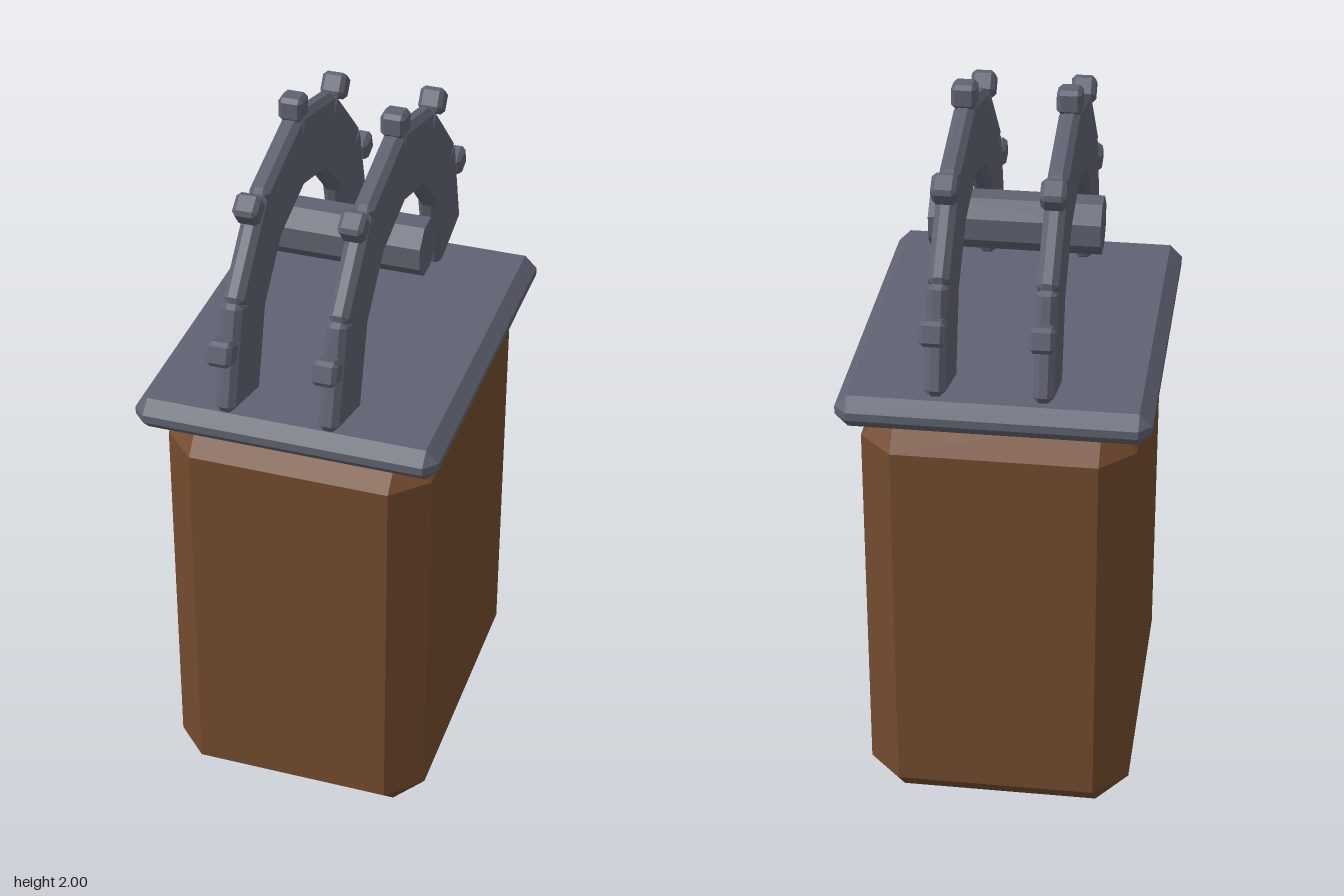
import * as THREE from 'three';
import { ConvexGeometry } from 'three/addons/geometries/ConvexGeometry.js';

// Box with every edge cut at 45 degrees and triangular corners
function chamferBox(w, h, d, c) {
  const half = [w / 2, h / 2, d / 2];
  const points = [];
  for (const sx of [-1, 1]) for (const sy of [-1, 1]) for (const sz of [-1, 1]) {
    for (let axis = 0; axis < 3; axis++) {
      const p = half.map((v, i) => (i === axis ? v : v - c));
      points.push(new THREE.Vector3(p[0] * sx, p[1] * sy, p[2] * sz));
    }
  }
  return new ConvexGeometry(points);
}

export function createModel() {
  const wood = new THREE.MeshStandardMaterial({ name: 'brown wood', color: 0x734a2e, flatShading: true });
  const metal = new THREE.MeshStandardMaterial({ name: 'grey metal', color: 0x5f6271, flatShading: true });

  const model = new THREE.Group();
  model.name = 'pedestalWithArches';

  function add(parent, name, geometry, material, x, y, z) {
    const mesh = new THREE.Mesh(geometry, material);
    mesh.name = name;
    mesh.position.set(x, y, z);
    parent.add(mesh);
    return mesh;
  }

  // Pedestal and its top plate
  add(model, 'pedestal', chamferBox(0.732, 1.24, 0.96, 0.092), wood, 0, 0.62, 0);
  add(model, 'topPlate', chamferBox(0.824, 0.09, 1.054, 0.034), metal, 0, 1.28, 0);

  // Octagonal axle along x, flat side up
  const axle = new THREE.CylinderGeometry(0.0785, 0.0785, 0.46, 8);
  axle.rotateY(Math.PI / 8);
  axle.rotateZ(Math.PI / 2);
  add(model, 'axle', axle, metal, 0, 1.613, 0);

  // Two half-ring arches of six straight segments, each with five studs
  const segment = chamferBox(0.055, 0.212, 0.294, 0.016);
  const stud = chamferBox(0.066, 0.066, 0.066, 0.011);

  function placeOnArc(arch, name, geometry, degrees, radius) {
    const a = THREE.MathUtils.degToRad(degrees);
    const mesh = add(arch, name, geometry, metal, 0, radius * Math.cos(a), radius * Math.sin(a));
    mesh.rotation.x = a;
  }

  for (const side of [-1, 1]) {
    const arch = new THREE.Group();
    arch.name = side > 0 ? 'leftArch' : 'rightArch';
    arch.position.set(side * 0.138, 1.377, 0);
    for (let i = 0; i < 6; i++) placeOnArc(arch, 'archSegment', segment, -75 + i * 30, 0.444);
    for (let i = 0; i < 5; i++) placeOnArc(arch, 'archStud', stud, -72 + i * 36, 0.59);
    model.add(arch);
  }

  return model;
}
